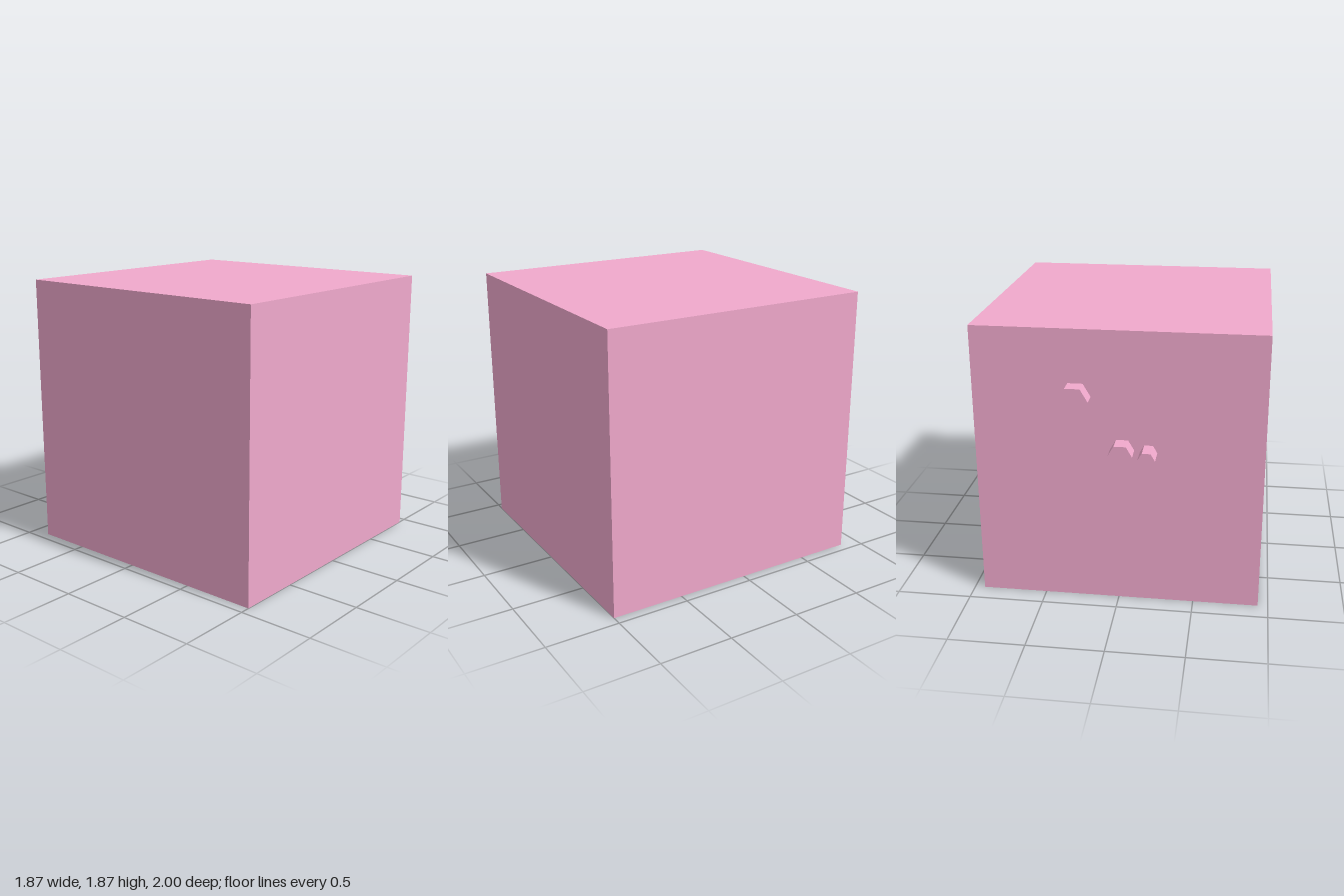
import * as THREE from 'three';

const SIZE = 1.866;      // edge of the cube
const BACK = -0.866;     // z of the cube's back face

export function createModel() {
  const model = new THREE.Group();
  const pink = new THREE.MeshStandardMaterial({ color: 0xf0a9cc, flatShading: true });
  const olive = new THREE.MeshStandardMaterial({ color: 0x9c9070, flatShading: true });

  const add = (name, geometry, material, x, y, z) => {
    const mesh = new THREE.Mesh(geometry, material);
    mesh.name = name;
    mesh.position.set(x, y, z);
    model.add(mesh);
  };

  // Main cube
  add('body', new THREE.BoxGeometry(SIZE, SIZE, SIZE), pink, 0, SIZE / 2, BACK + SIZE / 2);

  // Square panel set flush into the back face
  const panelDepth = 0.05;
  add('backPanel', new THREE.BoxGeometry(1.58, 1.58, panelDepth), olive, 0, SIZE / 2, BACK + panelDepth / 2);

  // Hexagonal studs on the back, flat sides up: x, y, corner radius, outer z
  const studs = [
    ['largeStud', 0.267, 1.43, 0.097, -0.972],
    ['mediumStud', -0.027, 1.08, 0.078, -0.978],
    ['smallStud', -0.196, 1.07, 0.056, -1.0],
  ];
  for (const [name, x, y, radius, outerZ] of studs) {
    const length = BACK + 0.02 - outerZ; // sunk slightly into the body
    const geometry = new THREE.CylinderGeometry(radius, radius, length, 6, 1, false, Math.PI / 6);
    geometry.rotateX(Math.PI / 2);
    add(name, geometry, pink, x, y, outerZ + length / 2);
  }

  return model;
}
